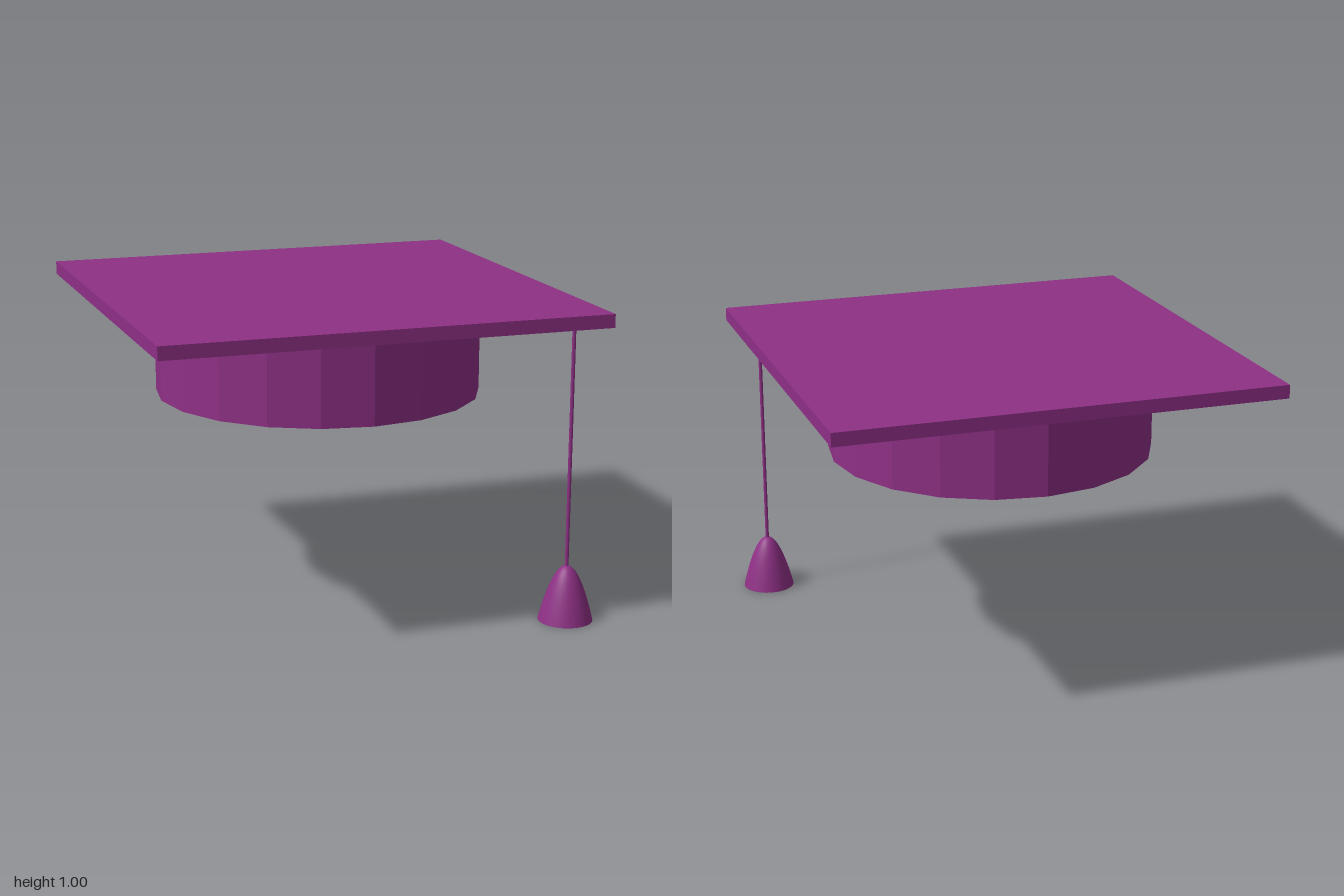
import * as THREE from 'three';

const purple = new THREE.MeshStandardMaterial({ color: 0x8e3085 });
purple.name = 'purple cloth';

function addPart(parent, name, geometry, x = 0, y = 0, z = 0) {
  const mesh = new THREE.Mesh(geometry, purple);
  mesh.name = name;
  mesh.position.set(x, y, z);
  parent.add(mesh);
  return mesh;
}

// Split the faces so each one is shaded flat
function faceted(geometry) {
  const flat = geometry.toNonIndexed();
  flat.computeVertexNormals();
  return flat;
}

export function createModel() {
  const model = new THREE.Group();
  model.name = 'graduationCap';
  const underside = 0.957;

  // Square board, turned about the vertical axis
  const board = addPart(model, 'board', new THREE.BoxGeometry(1.429, 0.043, 1.429), 0, 0.9785, 0);
  board.rotation.y = -Math.atan2(0.855, 1.145);

  // Thin-walled, open-bottomed head band with twenty sides
  const outer = 0.53, inner = 0.518, bottom = 0.66;
  const wall = [[inner, underside], [inner, bottom], [outer, bottom], [outer, underside]]
    .map(([r, y]) => new THREE.Vector2(r, y));
  addPart(model, 'headBand', faceted(new THREE.LatheGeometry(wall, 20)));

  // Cord and tassel hanging near the left corner
  const tassel = new THREE.Group();
  tassel.name = 'tassel';
  tassel.position.set(0.873, 0, -0.123);
  model.add(tassel);

  const height = 0.18, radius = 0.087;
  const cordLength = underside - height + 0.01;
  addPart(tassel, 'cord', new THREE.CylinderGeometry(0.006, 0.006, cordLength, 10), 0, underside - cordLength / 2, 0);

  // Rounded bell: the radius shrinks evenly to the tip
  const profile = [];
  for (let i = 0; i <= 14; i++) {
    const r = radius * (1 - i / 14);
    profile.push(new THREE.Vector2(r, height * (1 - (r / radius) ** 2)));
  }
  addPart(tassel, 'tasselBell', new THREE.LatheGeometry(profile, 32));
  addPart(tassel, 'tasselBase', new THREE.CircleGeometry(radius, 32).rotateX(Math.PI / 2));

  return model;
}
